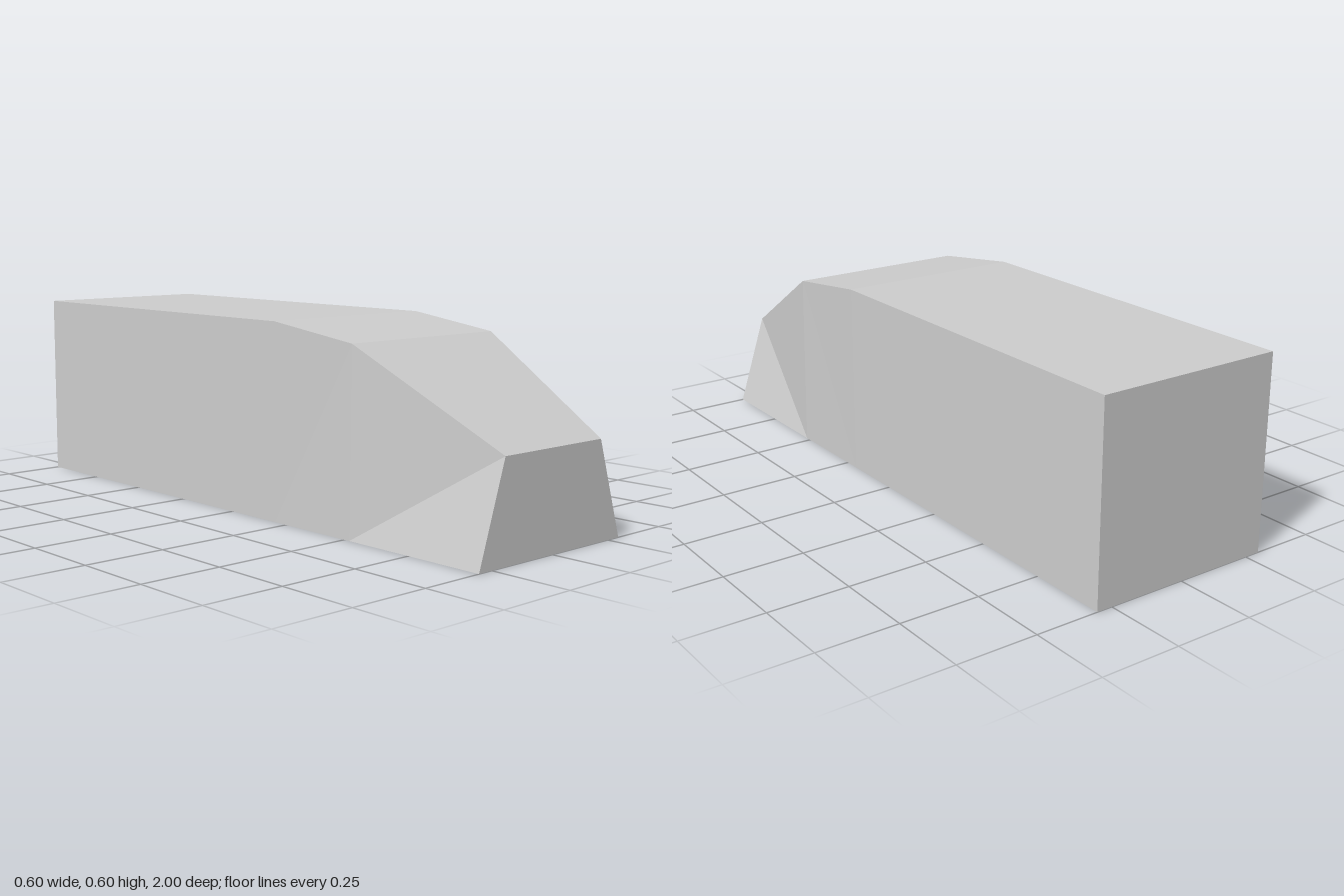
import * as THREE from 'three';

// Cross-sections from back to front: z, height, half width at the top
const HALF_BASE = 0.3;
const SECTIONS = [
  [-1, 0.6, 0.3],
  [0.2, 0.6, 0.3],
  [0.52, 0.557, 0.293],
  [1, 0.295, 0.204],
];

// Corners counter-clockwise seen from the front
function ring([z, height, halfTop]) {
  return [
    [-HALF_BASE, 0, z],
    [HALF_BASE, 0, z],
    [halfTop, height, z],
    [-halfTop, height, z],
  ];
}

function buildHull() {
  const rings = SECTIONS.map(ring);
  const positions = [];
  const tri = (...corners) => corners.forEach((c) => positions.push(...c));
  const quad = (a, b, c, d) => { tri(a, b, c); tri(a, c, d); };

  for (let s = 0; s < rings.length - 1; s++) {
    const back = rings[s];
    const front = rings[s + 1];
    for (let i = 0; i < 4; i++) {
      const j = (i + 1) % 4;
      // Both sides fold from the front top corner to the back bottom corner
      if (i === 3) quad(back[j], front[j], front[i], back[i]);
      else quad(back[i], back[j], front[j], front[i]);
    }
  }

  // End faces
  const [b0, b1, b2, b3] = rings[0];
  quad(b0, b3, b2, b1);
  quad(...rings[rings.length - 1]);

  const geometry = new THREE.BufferGeometry();
  geometry.setAttribute('position', new THREE.Float32BufferAttribute(positions, 3));
  geometry.computeVertexNormals(); // unshared corners keep the facets flat
  return geometry;
}

export function createModel() {
  const group = new THREE.Group();
  group.name = 'taperedNoseBlock';

  const lightGrey = new THREE.MeshStandardMaterial({ color: 0xcccccc });
  lightGrey.name = 'light grey';

  const hull = new THREE.Mesh(buildHull(), lightGrey);
  hull.name = 'hull';
  group.add(hull);
  return group;
}
